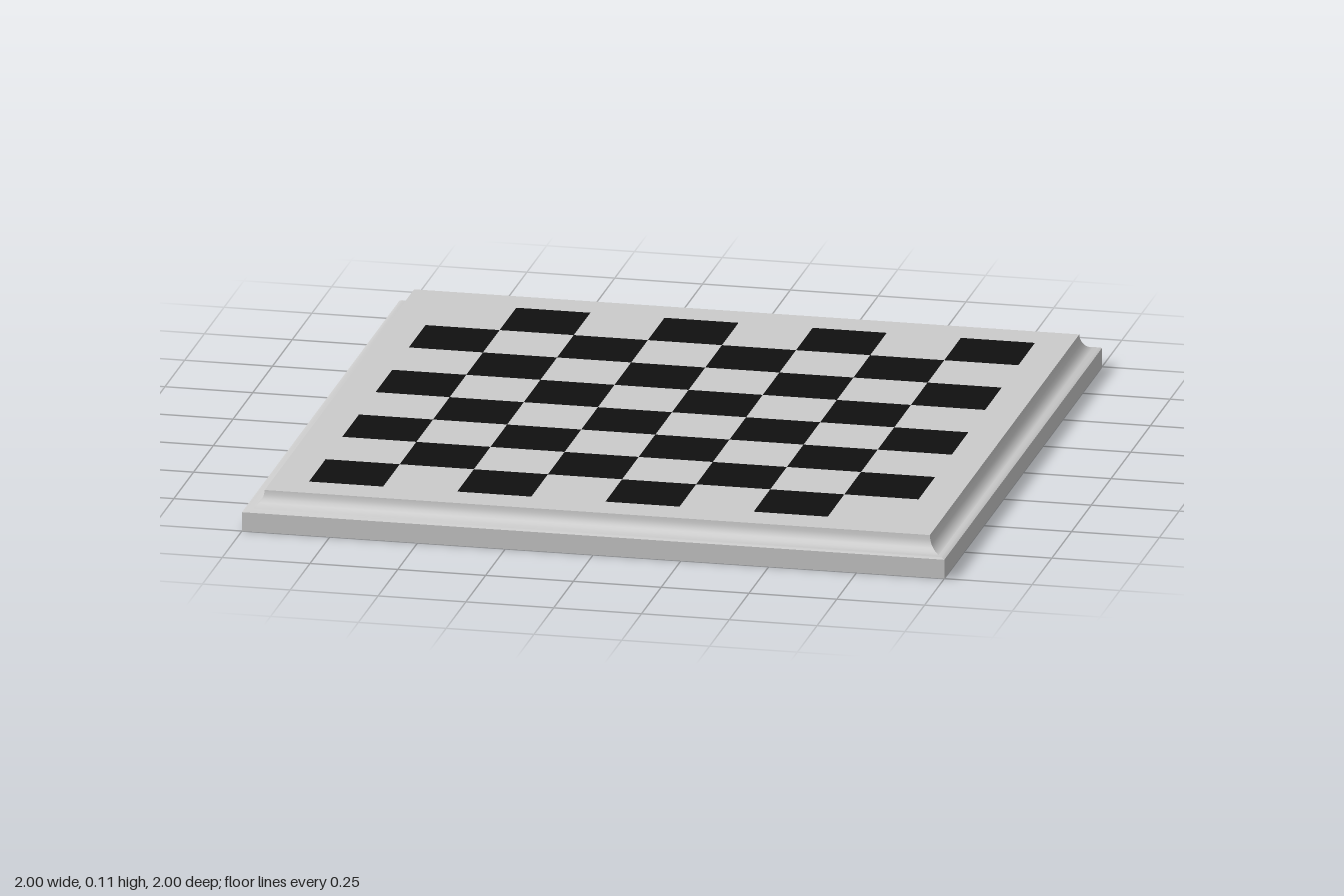
import * as THREE from 'three';
import { mergeGeometries, toCreasedNormals } from 'three/addons/utils/BufferGeometryUtils.js';

const HEIGHT = 0.107;   // top of the board
const BASE = 0.055;     // top of the square-edged base
const TOP_HALF = 0.947; // half width of the raised top
const FIELD = 0.844;    // half width of the chequered field
const CELLS = 8;

export function createModel() {
  const board = new THREE.Group();
  board.name = 'chequeredBoard';
  const light = new THREE.MeshStandardMaterial({ color: 0xcccccc });
  const dark = new THREE.MeshStandardMaterial({ color: 0x101010 });

  const add = (name, geometry, material) => {
    const mesh = new THREE.Mesh(geometry, material);
    mesh.name = name;
    board.add(mesh);
  };

  // Underside, straight edge and concave moulding: a four-sided lathe
  const profile = [[0, 0], [1, 0], [1, BASE]];
  const steps = 6;
  for (let i = 0; i <= steps; i++) {
    const a = (i / steps) * Math.PI / 2;
    profile.push([
      TOP_HALF + 0.043 * (1 - Math.sin(a)),
      HEIGHT - (HEIGHT - BASE - 0.004) * Math.cos(a),
    ]);
  }
  const points = profile.map(([r, y]) => new THREE.Vector2(r * Math.SQRT2, y));
  const body = new THREE.LatheGeometry(points, 4, Math.PI / 4);
  add('mouldedBase', toCreasedNormals(body, 0.5), light);

  // Plain border around the field
  const square = (Type, h) => new Type([[-h, -h], [h, -h], [h, h], [-h, h]]
    .map(([x, y]) => new THREE.Vector2(x, y)));
  const frame = square(THREE.Shape, TOP_HALF);
  frame.holes.push(square(THREE.Path, FIELD));
  add('topBorder', new THREE.ShapeGeometry(frame).rotateX(-Math.PI / 2).translate(0, HEIGHT, 0), light);

  // Flush squares, alternating light and dark
  const size = (2 * FIELD) / CELLS;
  const tiles = [[], []];
  for (let row = 0; row < CELLS; row++) {
    for (let col = 0; col < CELLS; col++) {
      tiles[(row + col) % 2].push(new THREE.PlaneGeometry(size, size)
        .rotateX(-Math.PI / 2)
        .translate((col + 0.5) * size - FIELD, HEIGHT, (row + 0.5) * size - FIELD));
    }
  }
  add('lightSquares', mergeGeometries(tiles[0]), light);
  add('darkSquares', mergeGeometries(tiles[1]), dark);

  return board;
}
